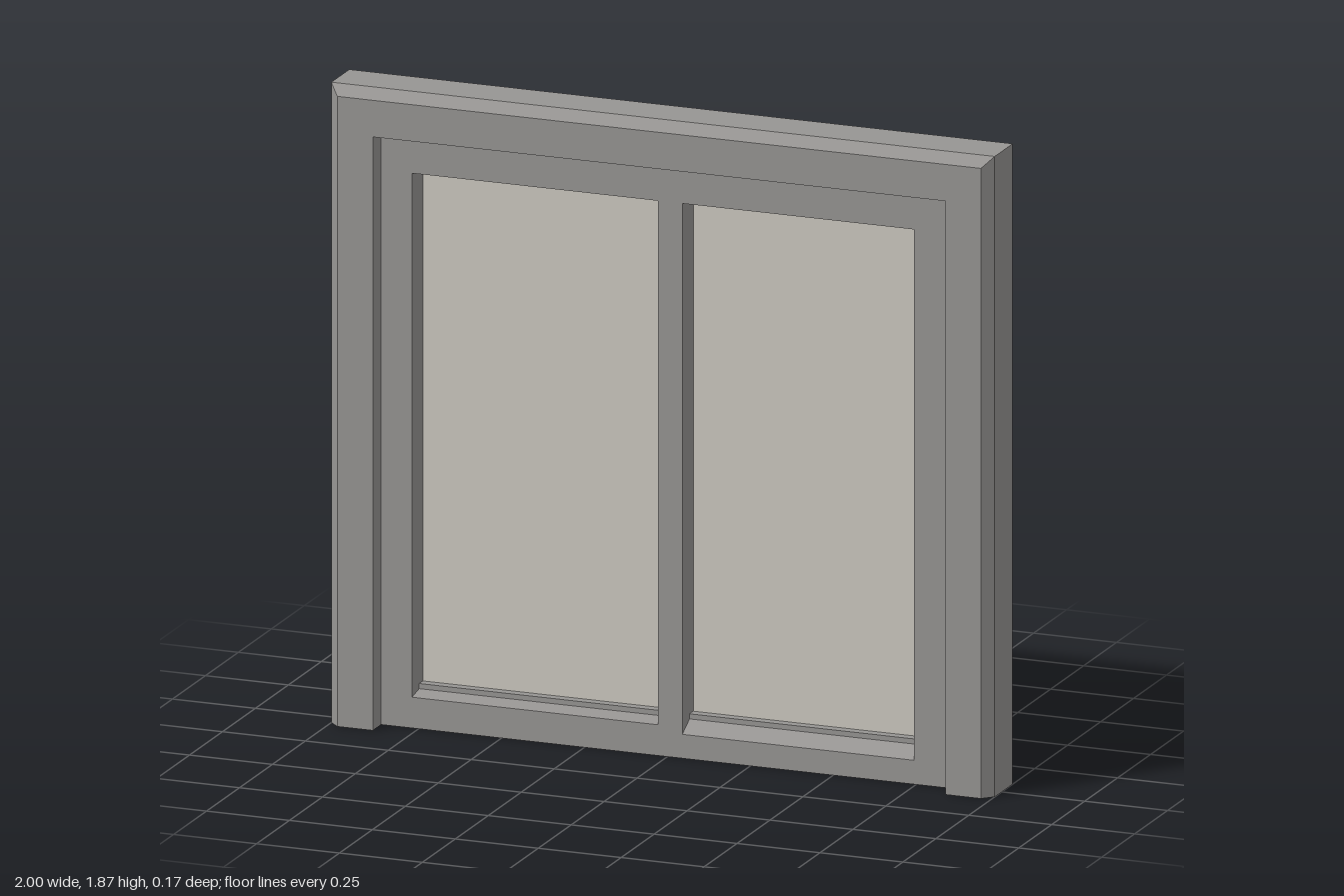
import * as THREE from 'three';

const H = 1.87, BACK = -0.083, FRONT = 0.083, SASH = 0.02, GLASS = -0.063;
const grey = new THREE.MeshStandardMaterial({ color: 0x979593, flatShading: true });
const paneMat = new THREE.MeshStandardMaterial({ color: 0xccc8c0 });

function add(group, name, geometry, material = grey) {
  const mesh = new THREE.Mesh(geometry, material);
  mesh.name = name;
  group.add(mesh);
  return mesh;
}

// Chamfered section carried up one jamb, across the head and down the other, with mitred corners
function surroundGeometry() {
  const section = [[0, BACK], [0, 0.053], [0.03, FRONT], [0.137, FRONT], [0.137, BACK]];
  const stations = [
    d => [-1 + d, 0], d => [-1 + d, H - d], d => [1 - d, H - d], d => [1 - d, 0],
  ];
  const n = section.length, pos = [], idx = [];
  for (const at of stations) for (const [d, z] of section) pos.push(...at(d), z);
  for (let s = 0; s < 3; s++) {
    for (let i = 0; i < n; i++) {
      const a = s * n + i, b = s * n + (i + 1) % n;
      idx.push(a, b, b + n, a, b + n, a + n);
    }
  }
  // Feet of the jambs
  const last = 3 * n;
  for (let i = 1; i < n - 1; i++) {
    idx.push(0, i + 1, i);
    idx.push(last, last + i, last + i + 1);
  }
  const g = new THREE.BufferGeometry();
  g.setAttribute('position', new THREE.Float32BufferAttribute(pos, 3));
  g.setIndex(idx);
  const flat = g.toNonIndexed();
  flat.computeVertexNormals();
  return flat;
}

function rect(Type, x0, x1, y0, y1) {
  const p = new Type();
  p.moveTo(x0, y0);
  p.lineTo(x1, y0);
  p.lineTo(x1, y1);
  p.lineTo(x0, y1);
  p.closePath();
  return p;
}

export function createModel() {
  const model = new THREE.Group();
  model.name = 'window';
  add(model, 'surround', surroundGeometry());

  // Left and right lights: x0, x1, bottom of the opening
  const lights = [[-0.77, -0.028, 0.09], [0.045, 0.743, 0.07]];
  const top = 1.62;

  // Recessed sash with two openings
  const shape = rect(THREE.Shape, -0.863, 0.863, 0, 1.733);
  for (const [x0, x1, y0] of lights) shape.holes.push(rect(THREE.Path, x0, x1, y0, top));
  const sash = new THREE.ExtrudeGeometry(shape, { depth: SASH + 0.065, bevelEnabled: false });
  sash.translate(0, 0, -0.065);
  add(model, 'sash', sash);

  // Solid back
  const back = new THREE.BoxGeometry(1.726, 1.733, 0.018);
  back.translate(0, 1.733 / 2, BACK + 0.009);
  add(model, 'backPanel', back);

  lights.forEach(([x0, x1, y0], i) => {
    const side = i ? 'left' : 'right', w = x1 - x0;

    // Window pane
    const pane = new THREE.PlaneGeometry(w, top - y0);
    pane.translate((x0 + x1) / 2, (y0 + top) / 2, GLASS);
    add(model, side + 'Pane', pane, paneMat);

    // Sloping sill with a small bead against the pane; profile runs along depth
    const profile = new THREE.Shape([
      [-SASH, y0], [0.035, 0.1], [0.035, 0.115], [0.064, 0.115], [0.064, y0],
    ].map(([z, y]) => new THREE.Vector2(z, y)));
    const sill = new THREE.ExtrudeGeometry(profile, { depth: w, bevelEnabled: false });
    sill.rotateY(Math.PI / 2);
    sill.scale(1, 1, 1);
    sill.translate(x0, 0, 0);
    add(model, side + 'Sill', sill);
  });

  return model;
}
